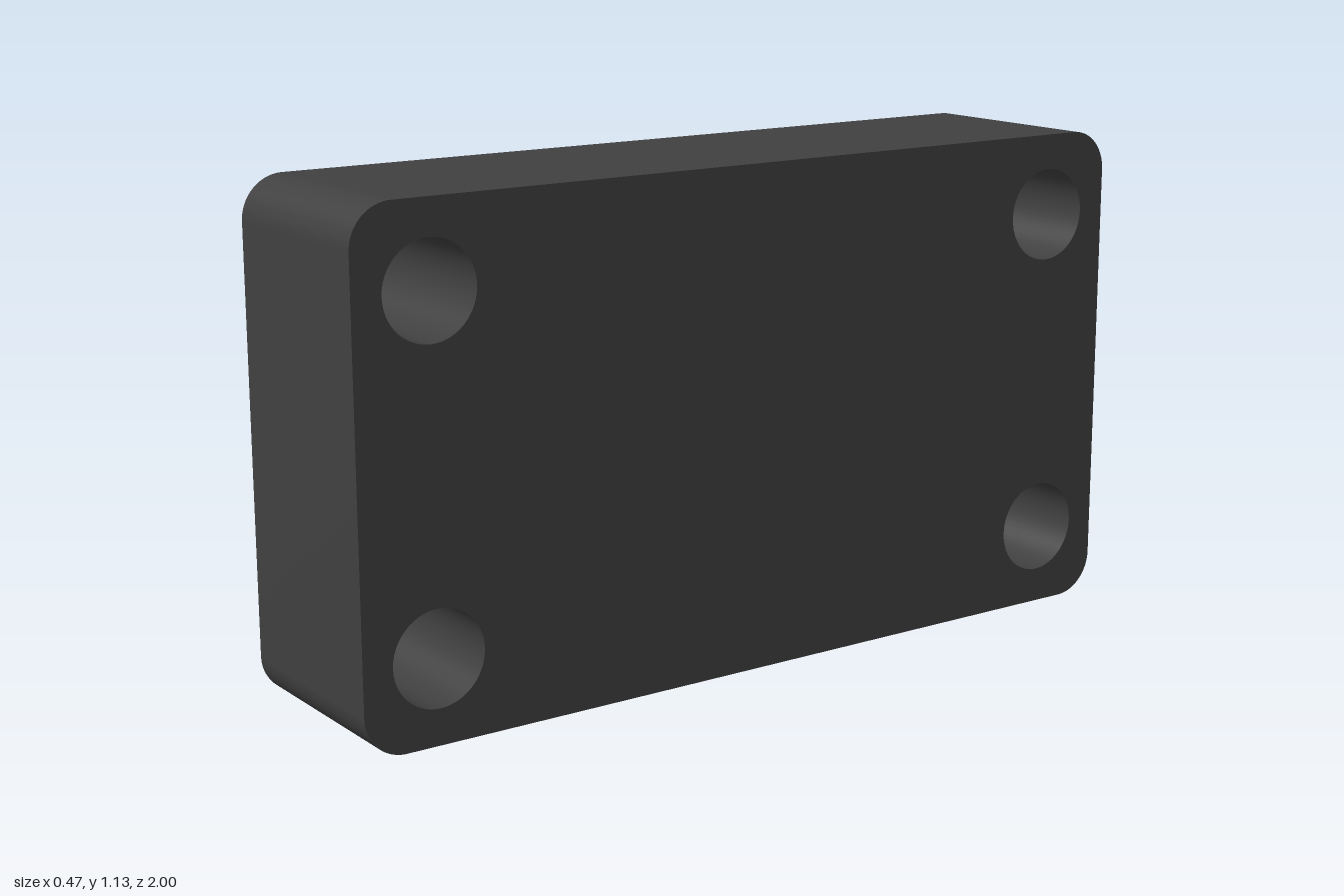
import * as THREE from 'three';
import { toCreasedNormals } from 'three/addons/utils/BufferGeometryUtils.js';

const LENGTH = 2, HEIGHT = 1.135, DEPTH = 0.47;
const CORNER = 0.095, HOLE = 0.107;
const HOLE_Z = 0.825, HOLE_Y = 0.38; // hole centres, measured from the block centre

// Rectangle with rounded corners, centred on the origin
function roundedRect(w, h, r) {
  const x = w / 2 - r, y = h / 2 - r;
  const s = new THREE.Shape();
  s.absarc(x, y, r, 0, Math.PI / 2);
  s.absarc(-x, y, r, Math.PI / 2, Math.PI);
  s.absarc(-x, -y, r, Math.PI, Math.PI * 1.5);
  s.absarc(x, -y, r, Math.PI * 1.5, Math.PI * 2);
  s.closePath();
  return s;
}

export function createModel() {
  const group = new THREE.Group();
  group.name = 'mountingBlock';

  // Outline with four through holes
  const outline = roundedRect(LENGTH, HEIGHT, CORNER);
  for (const sz of [-1, 1]) {
    for (const sy of [-1, 1]) {
      const hole = new THREE.Path();
      hole.absarc(sz * HOLE_Z, sy * HOLE_Y, HOLE, 0, Math.PI * 2, true);
      outline.holes.push(hole);
    }
  }

  // Extrude across the width, then stand it along z
  const solid = new THREE.ExtrudeGeometry(outline, { depth: DEPTH, bevelEnabled: false, curveSegments: 24 });
  solid.translate(0, 0, -DEPTH / 2);
  solid.rotateY(Math.PI / 2);
  solid.translate(0, HEIGHT / 2, 0);

  const block = new THREE.Mesh(
    toCreasedNormals(solid, Math.PI / 5),
    new THREE.MeshStandardMaterial({ color: 0x404040 })
  );
  block.name = 'drilledBlock';
  group.add(block);
  return group;
}
